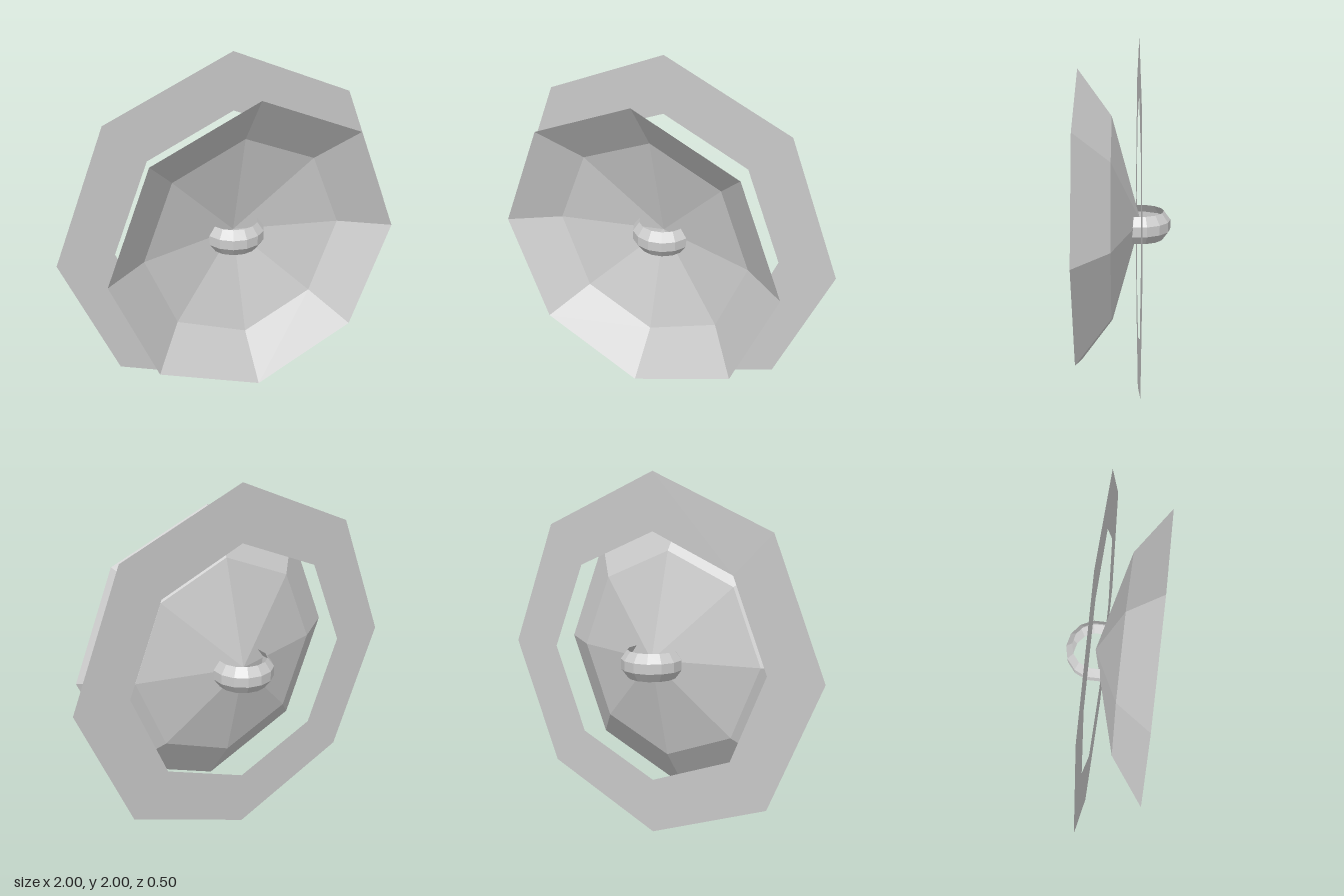
import * as THREE from 'three';

export function createModel() {
  const model = new THREE.Group();
  const grey = new THREE.MeshStandardMaterial({
    color: 0xcccccc, flatShading: true, side: THREE.DoubleSide,
  });
  grey.name = 'lightGrey';

  const add = (name, geometry, y, z) => {
    const mesh = new THREE.Mesh(geometry, grey);
    mesh.name = name;
    mesh.position.set(0, y, z);
    model.add(mesh);
  };
  const lathe = (points, sides) =>
    new THREE.LatheGeometry(points.map(([r, h]) => new THREE.Vector2(r, h)), sides);

  // Eight-sided shallow bowl opening to the front
  const bowl = lathe([[0, -0.087], [0.58, 0.07], [0.83, 0.25]], 8);
  bowl.rotateX(Math.PI / 2);
  add('bowl', bowl, 1, 0);

  // Flat octagonal collar floating around the back of the bowl
  add('collar', new THREE.RingGeometry(0.69, 1, 8, 1), 1, -0.075);

  // Horizontal band that passes through the middle of the bowl
  const band = lathe([[0.134, -0.076], [0.17, -0.027], [0.17, 0.027], [0.134, 0.076]], 14);
  add('centreBand', band, 0.984, -0.08);

  return model;
}
